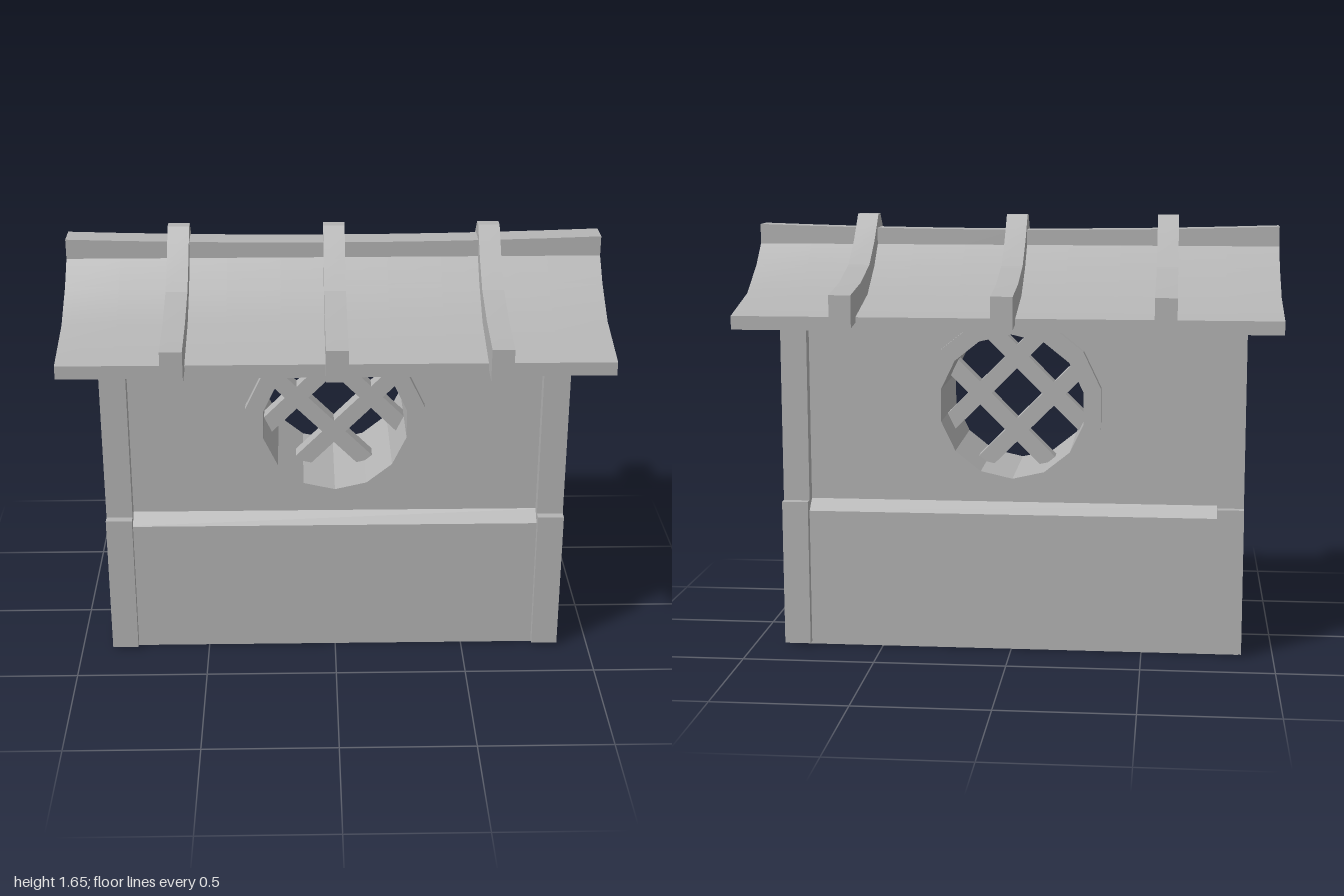
import * as THREE from 'three';
import { toCreasedNormals } from 'three/addons/utils/BufferGeometryUtils.js';

const stone = new THREE.MeshStandardMaterial({ color: 0xb4b4b4 });
stone.name = 'grey stone';

// Extrudes a [z, y] profile along x, from x0 to x1
function alongX(points, x0, x1, steps = 1) {
  const shape = new THREE.Shape(points.map(([z, y]) => new THREE.Vector2(-z, y)));
  const geo = new THREE.ExtrudeGeometry(shape, { depth: x1 - x0, steps, bevelEnabled: false });
  return geo.rotateY(Math.PI / 2).translate(x0, 0, 0);
}

// Completes a half profile, listed from the ridge outwards, by mirroring it in z
const mirrored = (half) => [...half, ...half.map(([z, y]) => [-z, y]).reverse()];

// 14-sided outline with a corner at the top
function polygon(radius, cy, PathType) {
  const pts = [];
  for (let i = 0; i < 14; i++) {
    const a = (i / 14) * Math.PI * 2;
    pts.push(new THREE.Vector2(Math.sin(a) * radius, cy + Math.cos(a) * radius));
  }
  return new PathType(pts);
}

export function createModel() {
  const group = new THREE.Group();
  const add = (geo, name) => {
    const mesh = new THREE.Mesh(geo, stone);
    mesh.name = name;
    group.add(mesh);
    return mesh;
  };
  const windowY = 0.94;

  // Wall with the round opening
  const wall = new THREE.Shape([[-0.88, 0], [0.88, 0], [0.88, 1.35], [-0.88, 1.35]].map((p) => new THREE.Vector2(...p)));
  wall.holes.push(polygon(0.28, windowY, THREE.Path));
  add(new THREE.ExtrudeGeometry(wall, { depth: 0.46, bevelEnabled: false }).translate(0, 0, -0.23), 'wall');

  // Window rings, plinths and corner pillars on both faces
  for (const s of [1, -1]) {
    const ring = polygon(0.347, windowY, THREE.Shape);
    ring.holes.push(polygon(0.28, windowY, THREE.Path));
    add(new THREE.ExtrudeGeometry(ring, { depth: 0.05, bevelEnabled: false })
      .translate(0, 0, s > 0 ? 0.22 : -0.27), 'windowRing');
    add(new THREE.BoxGeometry(0.25, 0.03, 0.09).translate(0, 1.275, s * 0.265), 'windowLintel');

    add(alongX([[s * 0.22, 0], [s * 0.28, 0], [s * 0.28, 0.53], [s * 0.23, 0.57], [s * 0.22, 0.57]], -0.87, 0.87), 'plinth');
    const pillar = [[0.23, 0.01], [0.31, 0.01], [0.31, 0.57], [0.277, 0.57], [0.277, 1.34], [0.23, 1.35]]
      .map(([z, y]) => [z * s, y]);
    add(alongX(pillar, 0.78, 0.88), 'leftPillar');
    add(alongX(pillar, -0.88, -0.78), 'rightPillar');
  }

  // Diagonal window lattice
  for (const angle of [Math.PI / 4, -Math.PI / 4]) {
    for (const offset of [-0.1025, 0.1025]) {
      const bar = add(new THREE.BoxGeometry(0.58, 0.065, 0.065).translate(0, offset, 0), 'latticeBar');
      bar.rotation.z = angle;
      bar.position.y = 0.96;
    }
  }

  // Flared roof with a gently sagging ridge
  const roof = alongX(mirrored([
    [0.048, 1.615], [0.048, 1.54], [0.135, 1.46], [0.29, 1.368], [0.545, 1.31], [0.545, 1.26], [0.24, 1.35],
  ]), -1, 1, 10);
  const pos = roof.attributes.position;
  for (let i = 0; i < pos.count; i++) {
    if (pos.getY(i) > 1.6) pos.setY(i, 1.598 + 0.017 * pos.getX(i) ** 2);
  }
  add(toCreasedNormals(roof, 0.5), 'roof');

  // Curved ribs over the roof
  const rib = mirrored([
    [0.022, 1.655], [0.12, 1.558], [0.24, 1.475], [0.43, 1.424], [0.637, 1.398],
    [0.637, 1.28], [0.545, 1.29], [0.29, 1.355], [0.05, 1.45],
  ]);
  for (const x of [-0.58, 0, 0.58]) {
    add(toCreasedNormals(alongX(rib, x - 0.04, x + 0.04), 0.3), 'roofRib');
  }
  return group;
}
